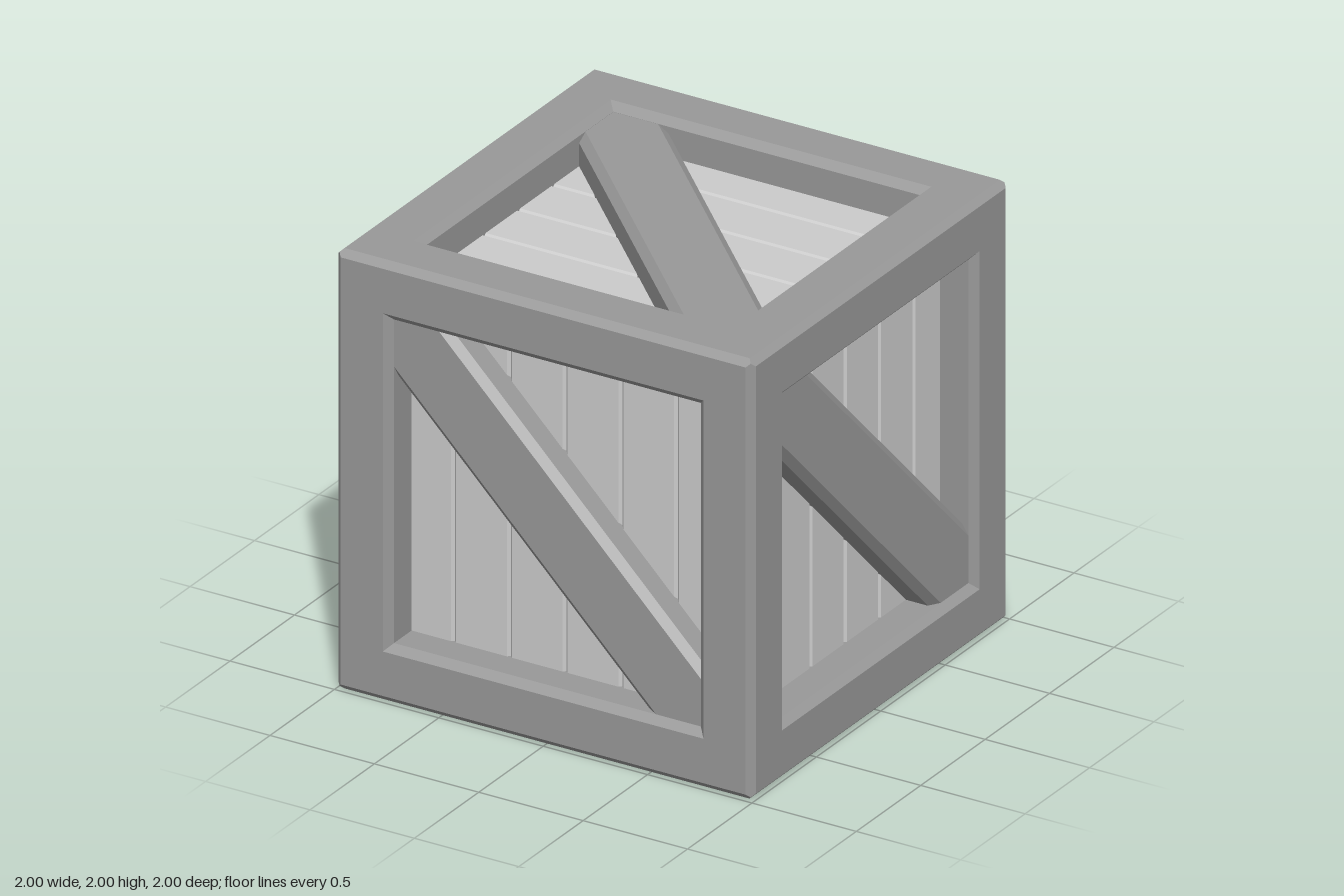
import * as THREE from 'three';

const OPEN = 0.735;   // half size of the opening inside each frame
const PANEL = 0.83;   // height of the plank surface from the crate centre
const PITCH = 0.267;  // plank width

const frameMat = new THREE.MeshStandardMaterial({ color: 0x999999, flatShading: true });
const plankMat = new THREE.MeshStandardMaterial({ color: 0xcccccc, flatShading: true });

// Square frame: a four-sided lathe, from the outer chamfer in to the recess wall
function frameGeometry() {
  const profile = [[0.985, 0.985], [0.97, 1], [0.768, 1], [OPEN, 0.967], [OPEN, 0.8]]
    .map(([r, h]) => new THREE.Vector2(r * Math.SQRT2, h));
  return new THREE.LatheGeometry(profile, 4, Math.PI / 4).rotateX(Math.PI / 2);
}

// Plank with bevelled long edges, running along y
function plankGeometry() {
  const w = PITCH / 2, b = 0.012, t = 0.05;
  const shape = new THREE.Shape([[-w, -t], [w, -t], [w, -b], [w - b, 0], [-w + b, 0], [-w, -b]]
    .map(([x, y]) => new THREE.Vector2(x, y)));
  return new THREE.ExtrudeGeometry(shape, { depth: 1.6, bevelEnabled: false })
    .translate(0, 0, -0.8).rotateX(Math.PI / 2).scale(1, 1, 1);
}

// Diagonal brace: stacked six-sided outlines, mitred into two opposite corners
function braceGeometry() {
  const a = OPEN;
  const outline = (d, z) => [
    [-a, a, z], [-a, a - d, z], [a - d, -a, z], [a, -a, z], [a, d - a, z], [d - a, a, z],
  ];
  const loops = [outline(0.265, 0.8), outline(0.265, 0.935), outline(0.215, 0.966)];
  const index = [];
  for (let k = 0; k < 2; k++) {
    for (let i = 0; i < 6; i++) {
      const p = k * 6 + i, q = k * 6 + (i + 1) % 6;
      index.push(p, q, q + 6, p, q + 6, p + 6);
    }
  }
  for (let i = 1; i < 5; i++) index.push(12, 12 + i, 13 + i);
  const geo = new THREE.BufferGeometry();
  geo.setAttribute('position', new THREE.Float32BufferAttribute(loops.flat(2), 3));
  geo.setIndex(index);
  geo.computeVertexNormals();
  return geo;
}

export function createModel() {
  const crate = new THREE.Group();
  crate.name = 'crate';
  const frameGeo = frameGeometry(), plankGeo = plankGeometry(), braceGeo = braceGeometry();

  const add = (parent, name, geo, mat) => {
    const mesh = new THREE.Mesh(geo, mat);
    mesh.name = name;
    parent.add(mesh);
    return mesh;
  };

  // One side, built facing +z
  function makeSide(name, rx, ry, plankTurn) {
    const side = new THREE.Group();
    side.name = name;
    add(side, 'frame', frameGeo, frameMat);
    add(side, 'brace', braceGeo, frameMat);
    const panel = new THREE.Group();
    panel.name = 'plankPanel';
    for (let i = 0; i < 6; i++) {
      add(panel, 'plank', plankGeo, plankMat).position.set((i - 2.5) * PITCH, 0, PANEL);
    }
    panel.rotation.z = plankTurn;
    side.add(panel);
    side.rotation.set(rx, ry, 0);
    side.position.y = 1;
    crate.add(side);
  }

  const q = Math.PI / 2;
  ['frontSide', 'leftSide', 'backSide', 'rightSide'].forEach((name, i) => makeSide(name, 0, i * q, 0));
  // Top and bottom planks run along x
  makeSide('topSide', -q, 0, q);
  makeSide('bottomSide', q, 0, q);
  return crate;
}
